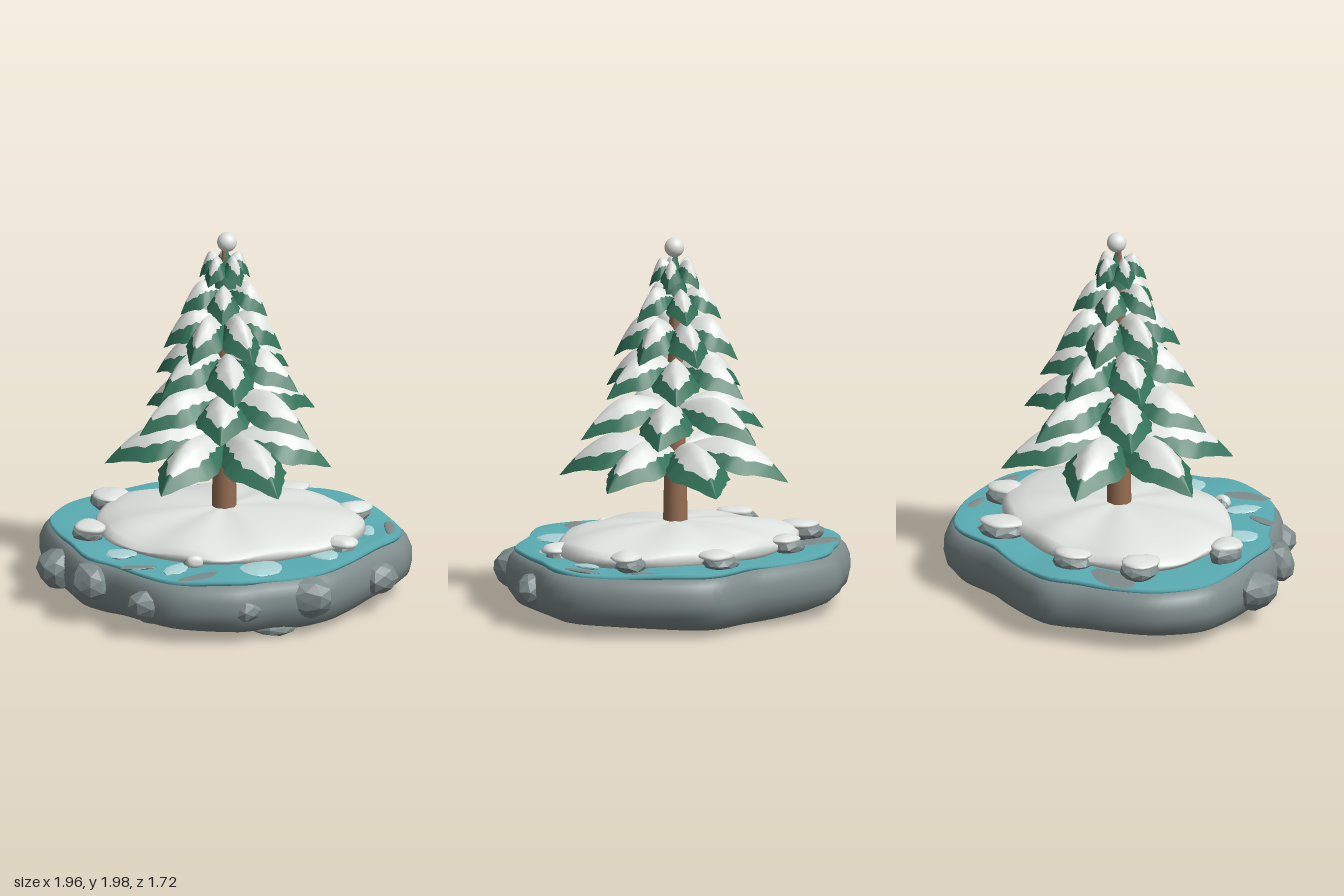
import * as THREE from 'three';

const mat = (name, color) => {
  const m = new THREE.MeshStandardMaterial({ color });
  m.name = name;
  return m;
};

export function createModel() {
  const group = new THREE.Group();
  const stone = mat('stone', 0x7f8c8c);
  const water = mat('water', 0x5aadb4);
  const snow = mat('snow', 0xdfe3df);
  const ice = mat('ice', 0xa9d3d6);
  const bark = mat('bark', 0x966d52);
  const needles = mat('needles', 0x33735a);

  const add = (name, geometry, material, parent = group) => {
    const mesh = new THREE.Mesh(geometry, material);
    mesh.name = name;
    parent.add(mesh);
    return mesh;
  };

  // Smooth closed outline in the ground plane
  const outline = (pts, n) => new THREE.CatmullRomCurve3(
    pts.map(([x, z]) => new THREE.Vector3(x, 0, z)), true).getSpacedPoints(n).slice(0, n);

  // Solid lofted from an outline; profile runs [scale, y] from bottom centre to top centre
  const loft = (ring, profile, cz, wobble) => {
    const n = ring.length, pos = [], idx = [];
    for (const [s, y] of profile) {
      for (const p of ring) {
        const a = Math.atan2(p.z - cz, p.x);
        pos.push(p.x * s, y + wobble(a, s, y), cz + (p.z - cz) * s);
      }
    }
    for (let i = 0; i < profile.length - 1; i++) {
      for (let j = 0; j < n; j++) {
        const k = (j + 1) % n, a = i * n + j, b = i * n + k, c = b + n, d = a + n;
        idx.push(a, d, b, b, d, c);
      }
    }
    const g = new THREE.BufferGeometry();
    g.setAttribute('position', new THREE.Float32BufferAttribute(pos, 3));
    g.setIndex(idx);
    g.computeVertexNormals();
    return g;
  };

  // Island base and the pond lying on it
  const shore = outline([
    [-0.39, -0.85], [-0.25, -0.86], [0.05, -0.82], [0.2, -0.79], [0.47, -0.8], [0.6, -0.75],
    [0.82, -0.5], [0.93, -0.3], [0.98, -0.13], [0.96, 0.02], [0.85, 0.2], [0.72, 0.43],
    [0.6, 0.6], [0.45, 0.7], [0.27, 0.77], [0.15, 0.84], [-0.05, 0.86], [-0.25, 0.83],
    [-0.42, 0.71], [-0.6, 0.53], [-0.74, 0.43], [-0.85, 0.2], [-0.92, 0.03], [-0.98, -0.2],
    [-0.97, -0.3], [-0.88, -0.5], [-0.7, -0.66], [-0.55, -0.75]], 96);
  add('stoneBase', loft(shore, [[0.001, 0.055], [0.45, 0.05], [0.74, 0.036], [0.84, 0.042], [0.93, 0.077],
    [0.985, 0.13], [1, 0.19], [0.998, 0.25], [0.978, 0.298], [0.945, 0.328], [0.9, 0.333], [0.001, 0.33]], 0,
  (a, s, y) => (y < 0.1 ? 0.015 * s * Math.sin(3 * a + 2.4) : 0)), stone);
  add('pond', loft(shore, [[0.001, 0.32], [0.9, 0.32], [0.94, 0.325], [0.948, 0.34], [0.936, 0.351],
    [0.86, 0.347], [0.001, 0.345]], 0,
  (a, s) => (s > 0.8 ? 0.007 * Math.sin(5 * a) + 0.004 * Math.sin(9 * a + 1) : 0)), water);

  // Snow mound with soft radial folds
  const drift = outline([
    [-0.68, -0.2], [-0.6, -0.4], [-0.35, -0.55], [-0.1, -0.61], [0.1, -0.59], [0.35, -0.52],
    [0.55, -0.4], [0.68, -0.25], [0.74, -0.05], [0.68, 0.15], [0.55, 0.3], [0.35, 0.42],
    [0.2, 0.48], [0, 0.53], [-0.25, 0.47], [-0.45, 0.35], [-0.6, 0.2], [-0.65, 0]], 72);
  add('snowMound', loft(drift, [[0.001, 0.34], [0.95, 0.34], [1, 0.365], [0.99, 0.392], [0.94, 0.42],
    [0.8, 0.45], [0.55, 0.477], [0.25, 0.488], [0.001, 0.49]], -0.05,
  (a, s, y) => (y > 0.38 ? s * (0.012 * Math.sin(7 * a + 0.6) + 0.012 * Math.cos(a + 0.6)) : 0)), snow);

  // Irregular lump; detail 1 is faceted, higher detail is smooth; the seed varies its shape
  const lump = (name, material, [x, y, z], [sx, sy, sz], seed, turn = 0, smooth = false) => {
    const g = smooth ? new THREE.SphereGeometry(1, 18, 12) : new THREE.IcosahedronGeometry(1, 1);
    const p = g.attributes.position, v = new THREE.Vector3();
    for (let i = 0; i < p.count; i++) {
      v.fromBufferAttribute(p, i);
      v.multiplyScalar(1 + 0.13 * Math.sin(3 * v.x + seed) * Math.cos(2.6 * v.z + 2 * seed) + 0.06 * Math.sin(4 * v.y + seed));
      p.setXYZ(i, v.x * sx, v.y * sy, v.z * sz);
    }
    g.computeVertexNormals();
    const m = add(name, g, material);
    m.position.set(x, y, z);
    m.rotation.y = turn;
  };

  // Boulders embedded in the rim
  [[-0.87, 0.2, 0.17, 0.11, 0.11, 0.12], [0.81, 0.2, 0.23, 0.1, 0.1, 0.09],
    [-0.67, 0.23, 0.47, 0.11, 0.1, 0.1], [0.47, 0.22, 0.62, 0.15, 0.11, 0.12],
    [-0.34, 0.19, 0.71, 0.13, 0.1, 0.09], [0.16, 0.2, 0.76, 0.09, 0.08, 0.09],
    [0.28, 0.055, 0.6, 0.14, 0.045, 0.1]]
    .forEach(([x, y, z, a, b, c], i) => lump('rimBoulder', stone, [x, y, z], [a, b, c], i * 1.7));

  // Snow-capped rocks around the mound: x, z, half length, half width, turn, cap height
  [[-0.29, -0.6, 0.105, 0.075, 0.2, 0.405], [0.29, -0.61, 0.11, 0.085, 0.6, 0.405],
    [0.65, -0.3, 0.1, 0.085, 0.1, 0.41], [0.62, 0.2, 0.085, 0.075, 0.2, 0.39],
    [-0.14, 0.52, 0.055, 0.035, 0.2, 0.375], [-0.71, 0.1, 0.085, 0.1, 0, 0.41],
    [-0.63, -0.41, 0.1, 0.105, 0.5, 0.415]]
    .forEach(([x, z, a, b, turn, y], i) => {
      lump('rock', stone, [x, y - 0.04, z], [a, 0.055, b], i + 0.5, turn);
      lump('rockSnowCap', snow, [x + 0.015, y, z + 0.02], [a * 0.97, 0.03, b * 0.95], i + 0.5, turn, true);
    });

  // Ice floes
  [[-0.52, 0.36, 0.085, 0.075, 0.3], [-0.22, 0.59, 0.05, 0.1, -0.4], [0.22, 0.55, 0.125, 0.12, 0.5],
    [0.54, 0.31, 0.08, 0.095, 0.4], [0.75, -0.08, 0.04, 0.085, 0]]
    .forEach(([x, z, a, b, turn], i) => lump('iceFloe', ice, [x, 0.347, z], [a, 0.015, b], i * 1.3, turn));

  // Stone shoals just breaking the pond surface
  [[-0.57, -0.55, 0.17, 0.085, 0], [0.7, -0.47, 0.03, 0.1, 0.45], [0.86, -0.14, 0.03, 0.12, 0.1],
    [-0.42, 0.575, 0.1, 0.03, 0.1], [-0.04, 0.69, 0.18, 0.06, 0.6]]
    .forEach(([x, z, a, b, turn], i) => lump('shoal', stone, [x, 0.348, z], [a, 0.008, b], i * 2.1, turn));

  // Tree
  const tree = new THREE.Group();
  tree.name = 'tree';
  tree.position.set(0, 0, -0.06);
  group.add(tree);
  add('trunk', new THREE.LatheGeometry([[0.066, 0.44], [0.063, 0.6], [0.056, 0.85],
    [0.047, 1.15], [0.037, 1.45], [0.026, 1.7], [0.012, 1.9]].map(([r, y]) => new THREE.Vector2(r, y)), 12), bark, tree)
    .position.set(-0.002, 0, 0.005);
  add('crown', new THREE.ConeGeometry(0.07, 0.22, 8), needles, tree).position.set(0.008, 1.81, 0);
  add('snowball', new THREE.SphereGeometry(0.052, 20, 14), snow, tree).position.set(0.012, 1.942, 0);

  // Bough along +x: arched roof with a snowy back, green fringe and green underside
  const rows = 14, cols = 7;
  const boughGeometry = (len, half, tip, top, cover) => {
    const pos = [], green = [], white = [], h = top - tip;
    for (let i = 0; i <= rows; i++) {
      const t = i / rows;
      const x = 0.02 + t * (len - 0.02);
      const crest = t < 0.48 ? top - h * 0.3 * (1 - t / 0.48) ** 2 : top - h * ((t - 0.48) / 0.52) ** 1.7;
      const shape = t < 0.6 ? 0.2 + 0.8 * Math.sin((t / 0.6) * Math.PI / 2) : ((1 - t) / 0.4) ** 0.85;
      const w = half * shape * (i % 2 ? 1.06 : 0.97);
      const drop = h * 0.68 * shape;
      const s = (cover + (i % 2 ? 0.03 : -0.03)) * (t > 0.7 ? Math.max(0.15, 1 - (t - 0.7) * 3) : 1);
      for (const v of [-1, -s, -s / 2, 0, s / 2, s, 1]) pos.push(x, crest - drop * Math.abs(v) ** 1.25, v * w);
      // Underside
      pos.push(x, crest - drop, -w, x, crest - drop * 1.08, 0, x, crest - drop, w);
    }
    const n = cols + 3;
    const quad = (list, a, b) => list.push(a, b, a + n, b, b + n, a + n);
    for (let i = 0; i < rows; i++) {
      for (let j = 0; j < cols - 1; j++) {
        quad(j > 0 && j < cols - 2 && i < rows - 2 ? white : green, i * n + j, i * n + j + 1);
      }
      quad(green, i * n + 8, i * n + 7);
      quad(green, i * n + 9, i * n + 8);
    }
    const g = new THREE.BufferGeometry();
    g.setAttribute('position', new THREE.Float32BufferAttribute(pos, 3));
    g.setIndex([...white, ...green]);
    g.addGroup(0, white.length, 0);
    g.addGroup(white.length, green.length, 1);
    g.computeVertexNormals();
    return g;
  };

  // Tiers of boughs: lengths, half width, tip height, crest height, first angle in degrees, snow cover
  [
    [[0.56, 0.62, 0.61, 0.63, 0.6, 0.62], 0.165, 0.705, 0.945, 0, 0.6],
    [[0.53, 0.4, 0.5, 0.49, 0.55, 0.53], 0.14, 0.945, 1.17, 30, 0.6],
    [[0.42, 0.42, 0.41, 0.39, 0.41, 0.42], 0.125, 1.165, 1.385, 20, 0.58],
    [[0.3, 0.33, 0.33, 0.32, 0.33, 0.33], 0.105, 1.35, 1.58, 0, 0.56],
    [[0.23, 0.24, 0.24, 0.24, 0.24], 0.085, 1.56, 1.74, 90, 0.52],
    [[0.14, 0.15, 0.14, 0.15, 0.14], 0.058, 1.73, 1.885, 50, 0.5],
  ].forEach(([lengths, half, tip, top, start, cover], k) => {
    const tier = new THREE.Group();
    tier.name = `boughTier${k + 1}`;
    tree.add(tier);
    lengths.forEach((len, i) => {
      const bough = add('bough', boughGeometry(len, half, tip, top, cover), [snow, needles], tier);
      bough.rotation.y = -THREE.MathUtils.degToRad(start + (i * 360) / lengths.length);
    });
  });

  return group;
}
